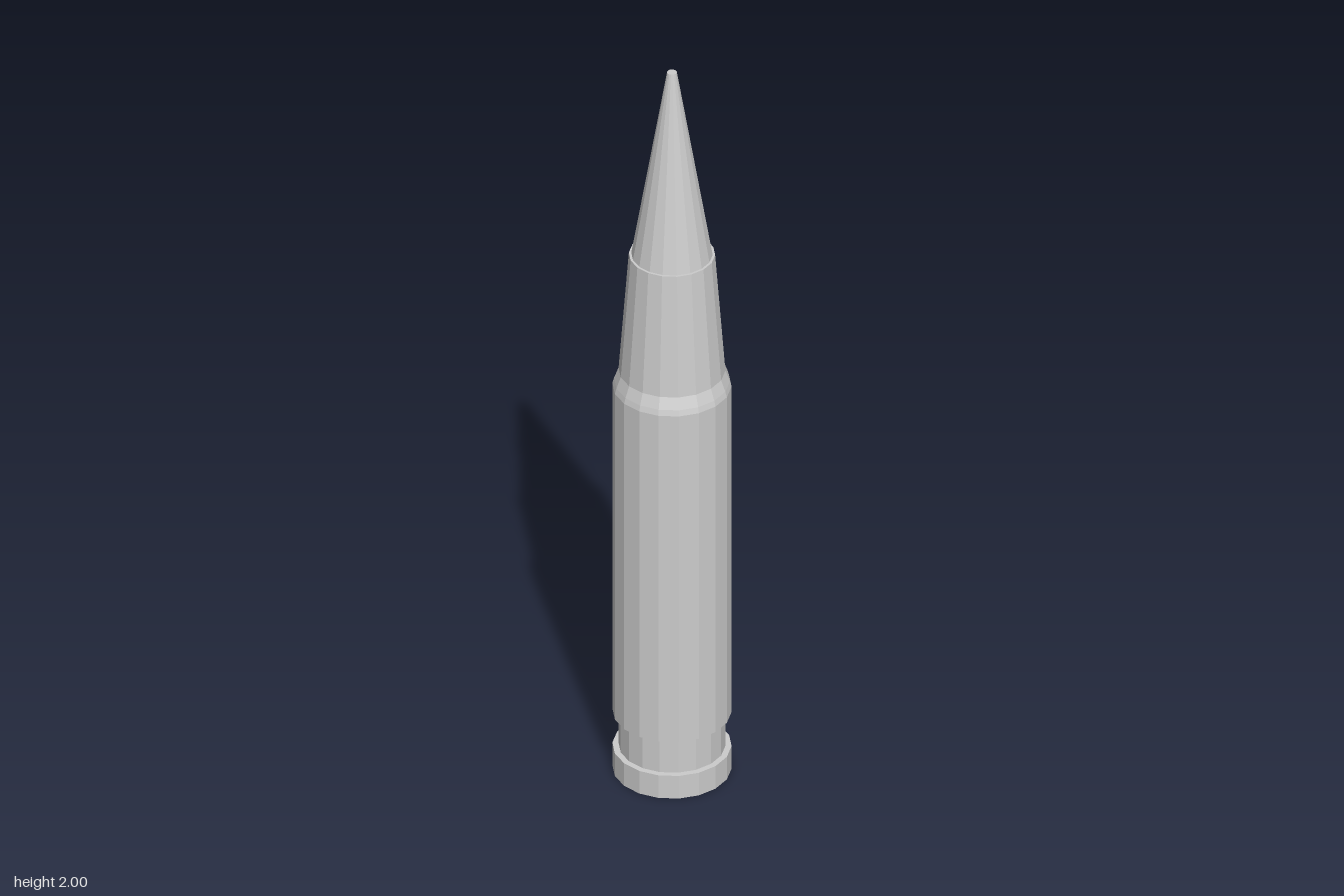
import * as THREE from 'three';

const SIDES = 18;
const material = new THREE.MeshStandardMaterial({ color: 0xcccccc, flatShading: true });

// Faceted turned part from [radius, height] pairs, listed bottom to top
function turned(name, profile) {
  const points = profile.map(([r, y]) => new THREE.Vector2(r, y));
  const mesh = new THREE.Mesh(new THREE.LatheGeometry(points, SIDES, Math.PI / 2), material);
  mesh.name = name;
  return mesh;
}

export function createModel() {
  const group = new THREE.Group();
  group.name = 'cartridge';

  // Base rim and the extractor groove above it
  group.add(turned('rim', [[0, 0], [0.145, 0], [0.145, 0.065], [0.13, 0.065]]));
  group.add(turned('extractorGroove', [[0.13, 0.065], [0.13, 0.163]]));

  // Straight body, short shoulder, tapering neck with a thin lip
  group.add(turned('caseBody', [[0.13, 0.163], [0.145, 0.163], [0.145, 1.1]]));
  group.add(turned('shoulder', [[0.145, 1.1], [0.141, 1.115], [0.13, 1.145]]));
  group.add(turned('neck', [[0.13, 1.145], [0.105, 1.477], [0.099, 1.477]]));

  // Conical bullet with a small flat tip
  group.add(turned('bullet', [[0.099, 1.477], [0.012, 2], [0, 2]]));

  return group;
}
